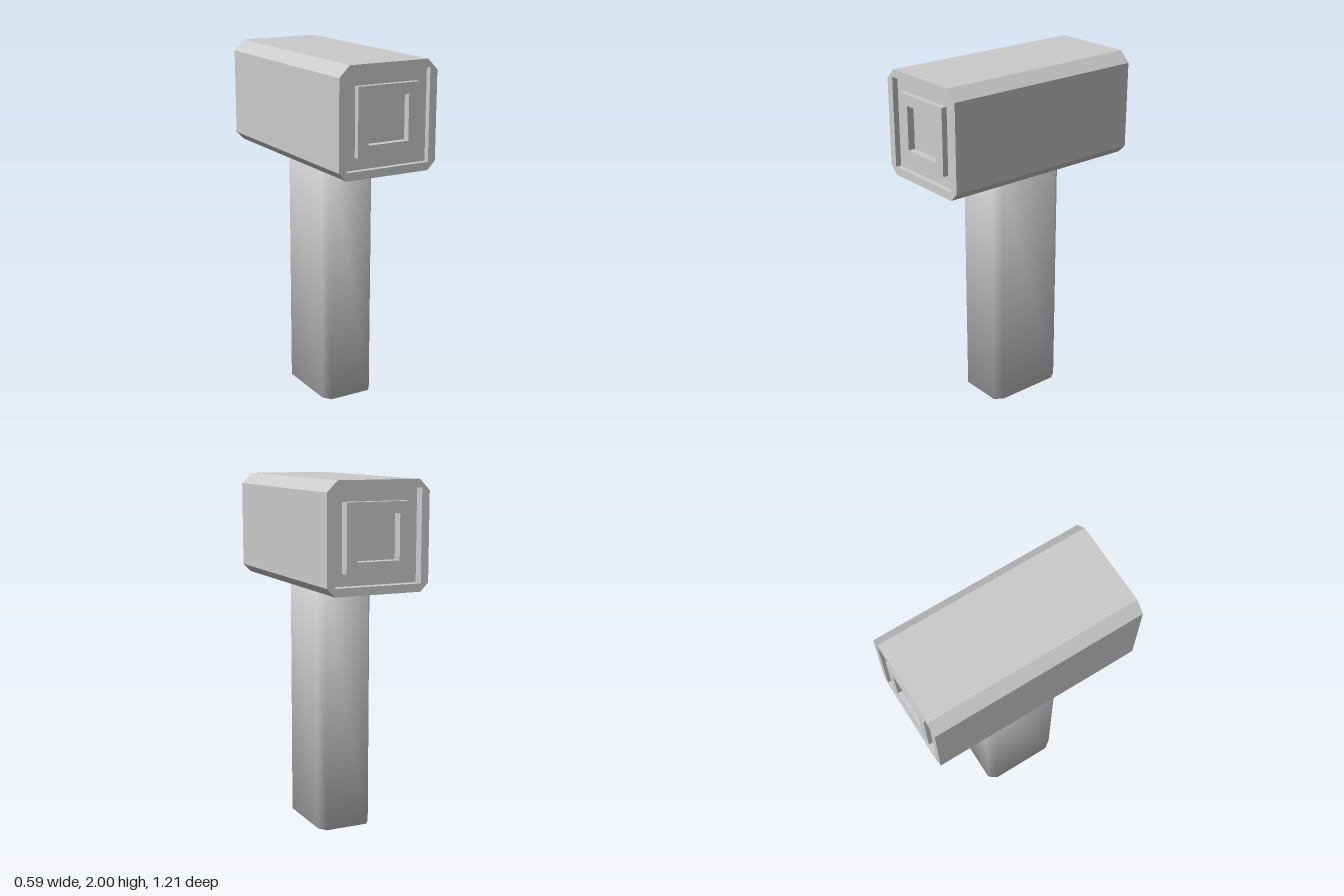
import * as THREE from 'three';

const grey = () => new THREE.MeshStandardMaterial({ color: 0xcccccc });

// Head: one closed loft of eight-point sections, from the front recess to the back recess
function createHead() {
  const cy = 1.703;
  const section = ([h, top, bottom, z]) => [
    [h, -h + bottom], [h, h - top], [h - top, h], [-h + top, h],
    [-h, h - top], [-h, -h + bottom], [-h + bottom, -h], [h - bottom, -h],
  ].map(([x, y]) => new THREE.Vector3(x, cy + y, z));

  // half size, top chamfer, bottom chamfer, z
  const sections = [
    [0.123, 0, 0, 0.565], [0.123, 0, 0, 0.605], // front centre recess
    [0.185, 0, 0, 0.605], [0.185, 0, 0, 0.573], // front raised block
    [0.252, 0, 0, 0.573], [0.252, 0, 0, 0.605], // front groove
    [0.297, 0.06, 0.047, 0.605], [0.297, 0.06, 0.047, -0.605], // body
    [0.252, 0, 0, -0.605], [0.252, 0, 0, -0.55], // back groove
    [0.185, 0, 0, -0.55], [0.185, 0, 0, -0.605], // back raised block
    [0.123, 0, 0, -0.605], [0.123, 0, 0, -0.55], // back centre recess
  ].map(section);

  const points = [];
  const triangle = (a, b, c) => {
    // Coinciding square corners give empty triangles; leave them out
    if (new THREE.Triangle(a, b, c).getArea() > 1e-7) points.push(a, b, c);
  };
  for (let i = 0; i < sections.length - 1; i++) {
    const s = sections[i], t = sections[i + 1];
    for (let j = 0; j < 8; j++) {
      const k = (j + 1) % 8;
      triangle(s[j], t[j], t[k]);
      triangle(s[j], t[k], s[k]);
    }
  }
  const first = sections[0], last = sections[sections.length - 1];
  for (let j = 1; j < 7; j++) {
    triangle(first[0], first[j], first[j + 1]);
    triangle(last[0], last[j + 1], last[j]);
  }
  const geometry = new THREE.BufferGeometry().setFromPoints(points);
  geometry.computeVertexNormals();
  const material = grey();
  material.flatShading = true;
  const mesh = new THREE.Mesh(geometry, material);
  mesh.name = 'head';
  return mesh;
}

// Handle: straight bar with chamfered corners and softly blended normals
function createHandle() {
  const w = 0.16, d = 0.237, cx = 0.035, cz = 0.048, height = 1.407;
  const outline = [
    [w, -d + cz], [w, d - cz], [w - cx, d], [-w + cx, d],
    [-w, d - cz], [-w, -d + cz], [-w + cx, -d], [w - cx, -d],
  ].map(([x, y]) => new THREE.Vector2(x, y));
  const geometry = new THREE.ExtrudeGeometry(new THREE.Shape(outline), {
    depth: height, bevelEnabled: false,
  });
  geometry.rotateX(-Math.PI / 2);

  // Each corner normal averages its flat side, its chamfer and the end cap
  const position = geometry.attributes.position;
  const chamfer = new THREE.Vector2(cz, cx).normalize();
  const normal = new THREE.Vector3();
  for (let i = 0; i < position.count; i++) {
    const x = position.getX(i), z = position.getZ(i);
    const onSide = Math.abs(x) > w - 0.01;
    normal.set(
      Math.sign(x) * (chamfer.x + (onSide ? 1 : 0)),
      position.getY(i) > height / 2 ? 1 : -1,
      Math.sign(z) * (chamfer.y + (onSide ? 0 : 1)),
    ).normalize();
    geometry.attributes.normal.setXYZ(i, normal.x, normal.y, normal.z);
  }
  const mesh = new THREE.Mesh(geometry, grey());
  mesh.name = 'handle';
  return mesh;
}

export function createModel() {
  const model = new THREE.Group();
  model.name = 'hammer';
  model.add(createHead(), createHandle());
  return model;
}
